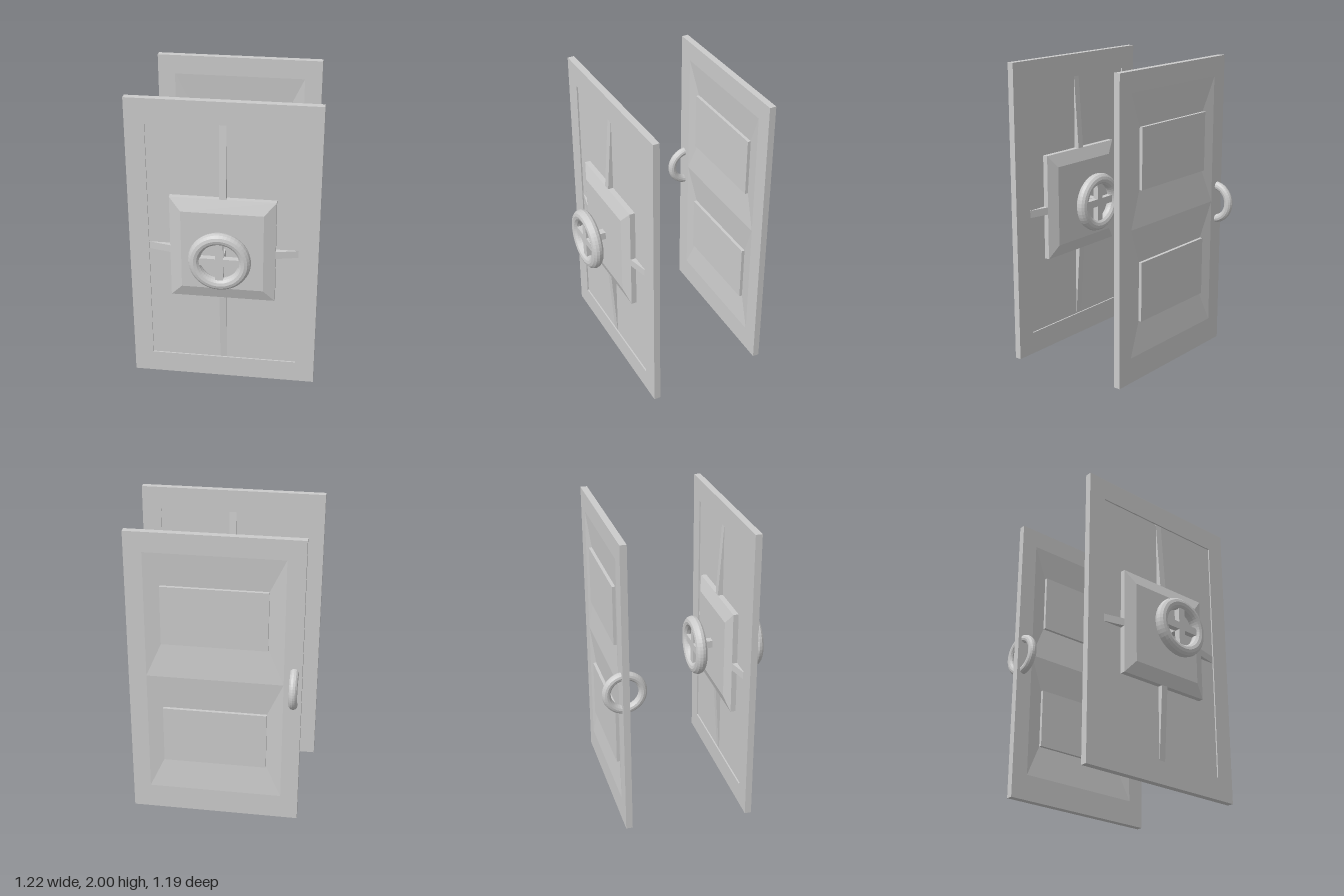
import * as THREE from 'three';

const material = new THREE.MeshStandardMaterial({ color: 0xcccccc, flatShading: true });
const H = 0.022; // half thickness of a door slab
const MID = 1.003; // height of the handles

function add(parent, name, geometry, x = 0, y = 0, z = 0) {
  const mesh = new THREE.Mesh(geometry, material);
  mesh.name = name;
  mesh.position.set(x, y, z);
  parent.add(mesh);
  return mesh;
}

// Stepped rectangular relief facing +z: rings of [halfWidth, yLow, yHigh, z], last ring capped
function relief(rings) {
  const pos = [];
  const index = [];
  for (const [w, lo, hi, z] of rings) pos.push(-w, lo, z, w, lo, z, w, hi, z, -w, hi, z);
  for (let r = 0; r < rings.length - 1; r++) {
    for (let i = 0; i < 4; i++) {
      const a = r * 4 + i, b = r * 4 + (i + 1) % 4;
      index.push(a, b, b + 4, a, b + 4, a + 4);
    }
  }
  const c = (rings.length - 1) * 4;
  index.push(c, c + 1, c + 2, c, c + 2, c + 3);
  const g = new THREE.BufferGeometry();
  g.setAttribute('position', new THREE.Float32BufferAttribute(pos, 3));
  g.setIndex(index);
  const flat = g.toNonIndexed();
  flat.computeVertexNormals();
  return flat;
}

function rect(Type, w, lo, hi) {
  return new Type([[-w, lo], [w, lo], [w, hi], [-w, hi]].map(p => new THREE.Vector2(...p)));
}

// Slab with a rectangular opening
function frame(w, holeW, lo, hi) {
  const shape = rect(THREE.Shape, w, 0, 2);
  shape.holes.push(rect(THREE.Path, holeW, lo, hi));
  return new THREE.ExtrudeGeometry(shape, { depth: 2 * H, bevelEnabled: false }).translate(0, 0, -H);
}

// Wedge rib running outwards along +x, thinning towards its tip
function rib(start, end, width) {
  const shape = new THREE.Shape();
  shape.moveTo(start - 0.02, 0);
  shape.lineTo(end, 0);
  shape.lineTo(end, 0.014);
  shape.lineTo(start, 0.048);
  shape.lineTo(start - 0.02, 0.048);
  return new THREE.ExtrudeGeometry(shape, { depth: width, bevelEnabled: false })
    .translate(0, 0, -width / 2).rotateX(Math.PI / 2);
}

// Both faces of a door, built facing +z; the second is turned round
function bothFaces(door, build) {
  for (const [name, turn] of [['frontFace', 0], ['backFace', Math.PI]]) {
    const face = new THREE.Group();
    face.name = name;
    face.rotation.y = turn;
    build(face);
    door.add(face);
  }
}

function wheelDoor() {
  const door = new THREE.Group();
  door.name = 'wheelDoor';
  add(door, 'doorFrame', frame(0.612, 0.485, 0.15, 1.85));
  add(door, 'recessedPanel', new THREE.BoxGeometry(0.97, 1.7, 0.025), 0, 1, 0);
  bothFaces(door, face => {
    // bevelled centre plate
    add(face, 'centrePlate', relief([
      [0.34, 0.645, 1.36, 0], [0.34, 0.645, 1.36, 0.048], [0.265, 0.73, 1.275, 0.078],
    ]));
    // tapering ribs between the four recesses
    for (let i = 0; i < 4; i++) {
      const upright = i % 2 === 1;
      const r = add(face, 'rib', upright ? rib(0.357, 0.848, 0.046) : rib(0.34, 0.485, 0.05),
        0, upright ? 1 : 0.985, 0);
      r.rotation.z = i * Math.PI / 2;
    }
    // wheel with cross spokes on a square shaft
    add(face, 'wheelRim', new THREE.TorusGeometry(0.161, 0.039, 12, 48), 0, MID, 0.198);
    add(face, 'spoke', new THREE.BoxGeometry(0.32, 0.05, 0.04), 0, MID, 0.198);
    add(face, 'spoke', new THREE.BoxGeometry(0.05, 0.32, 0.04), 0, MID, 0.198);
    add(face, 'shaft', new THREE.BoxGeometry(0.05, 0.05, 0.14), 0, MID, 0.14);
  });
  return door;
}

function panelDoor() {
  const door = new THREE.Group();
  door.name = 'panelDoor';
  add(door, 'doorFrame', frame(0.555, 0.44, 0.17, 1.87));
  bothFaces(door, face => {
    // sloped sunken surrounds, each with a raised field
    for (const [lo, hi, panelLo, panelHi] of [[0.17, 1.02, 0.39, 0.785], [1.02, 1.87, 1.255, 1.65]]) {
      add(face, 'raisedPanel', relief([
        [0.44, lo, hi, H],
        [0.338, panelLo, panelHi, 0.004],
        [0.338, panelLo, panelHi, H + 0.003],
      ]));
    }
  });
  // ring handle passing through the door
  add(door, 'ringHandle', new THREE.TorusGeometry(0.117, 0.028, 12, 48).rotateY(Math.PI / 2), -0.506, MID, 0);
  return door;
}

export function createModel() {
  const model = new THREE.Group();
  model.name = 'doorPair';
  const front = wheelDoor();
  front.position.z = 0.357;
  const back = panelDoor();
  back.position.z = -0.453;
  model.add(front, back);
  return model;
}
